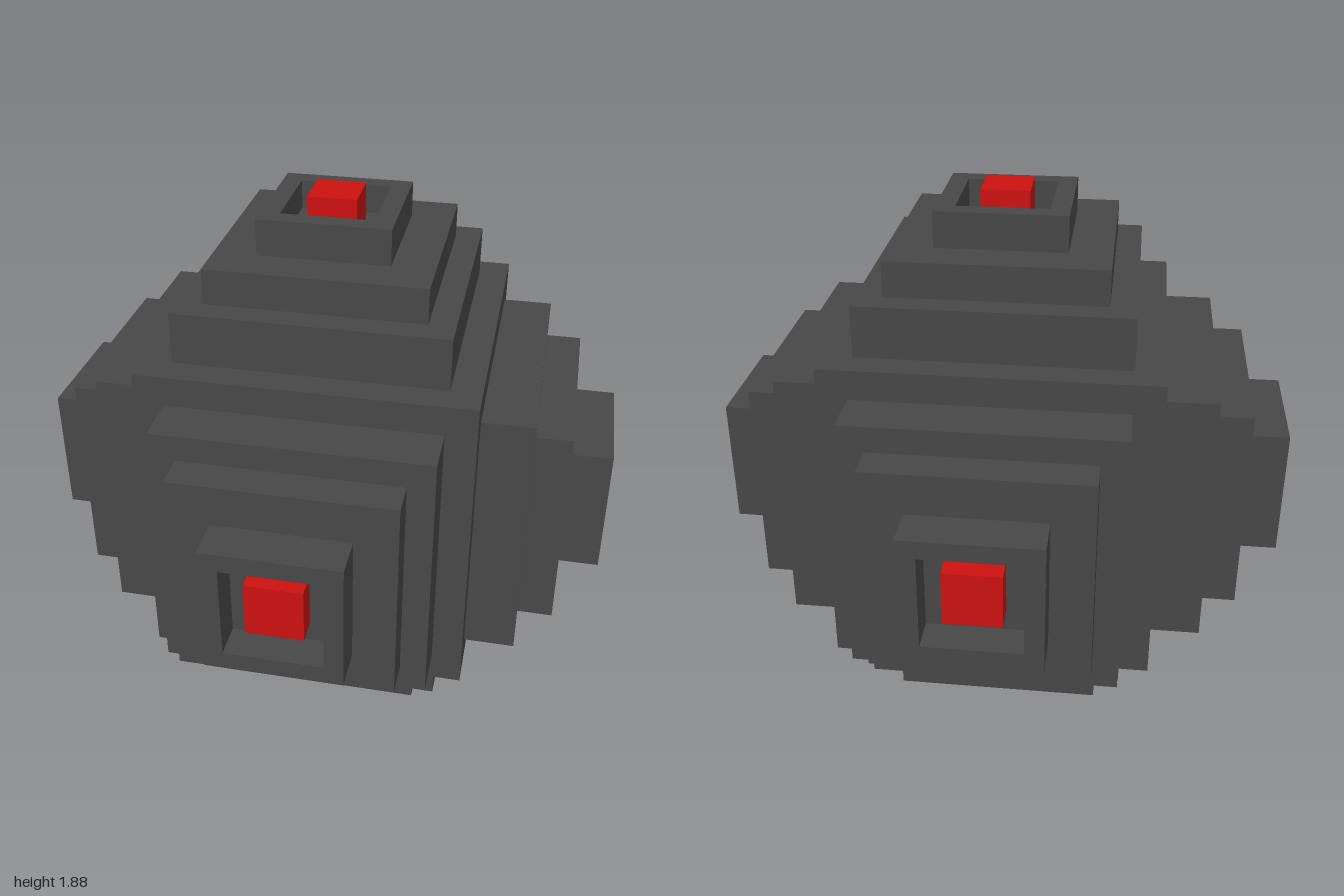
import * as THREE from 'three';

const dark = new THREE.MeshStandardMaterial({ color: 0x474747 });
const red = new THREE.MeshStandardMaterial({ color: 0xcc1210 });

// Square slab of half-width h between z0 and z1
function slab(name, h, z0, z1, material = dark) {
  const mesh = new THREE.Mesh(new THREE.BoxGeometry(2 * h, 2 * h, z1 - z0), material);
  mesh.position.z = (z0 + z1) / 2;
  mesh.name = name;
  return mesh;
}

// Square frame with a square opening
function frame(outer, inner, z0, z1) {
  const square = (Path, h) => new Path([[-h, -h], [h, -h], [h, h], [-h, h]].map(([x, y]) => new THREE.Vector2(x, y)));
  const shape = square(THREE.Shape, outer);
  shape.holes.push(square(THREE.Path, inner));
  const mesh = new THREE.Mesh(new THREE.ExtrudeGeometry(shape, { depth: z1 - z0, bevelEnabled: false }), dark);
  mesh.position.z = z0;
  mesh.name = 'socketFrame';
  return mesh;
}

// Stepped pyramid growing along +z from the core; steps are [halfWidth, end]
function steppedArm(name, steps, socket) {
  const arm = new THREE.Group();
  arm.name = name;
  let z = 0.56;
  steps.forEach(([h, end], i) => {
    arm.add(slab(`step${i + 1}`, h, z, end));
    z = end;
  });
  if (socket) {
    const { outer, inner, floor, rim, eye, tip } = socket;
    arm.add(frame(outer, inner, z, rim));
    arm.add(slab('socketFloor', inner, z, floor));
    arm.add(slab('redButton', eye, floor, tip, red));
  }
  return arm;
}

export function createModel() {
  const model = new THREE.Group();
  model.name = 'steppedCube';
  const body = new THREE.Group();
  body.name = 'body';
  body.position.y = 0.86;
  model.add(body);

  body.add(slab('core', 0.56, -0.56, 0.56));

  // Four identical side arms
  const sideSocket = { outer: 0.227, inner: 0.164, floor: 0.882, rim: 1, eye: 0.095, tip: 0.967 };
  ['frontArm', 'leftArm', 'backArm', 'rightArm'].forEach((name, i) => {
    const arm = steppedArm(name, [[0.457, 0.735], [0.368, 0.857]], sideSocket);
    arm.rotation.y = i * Math.PI / 2;
    body.add(arm);
  });

  // Top arm, with a button rising above its rim
  const topSocket = { outer: 0.223, inner: 0.157, floor: 0.885, rim: 0.984, eye: 0.083, tip: 1.02 };
  const top = steppedArm('topArm', [[0.457, 0.738], [0.368, 0.86]], topSocket);
  top.rotation.x = -Math.PI / 2;
  body.add(top);

  // Plain stepped foot
  const foot = steppedArm('foot', [[0.457, 0.735], [0.368, 0.86]]);
  foot.rotation.x = Math.PI / 2;
  body.add(foot);

  return model;
}
